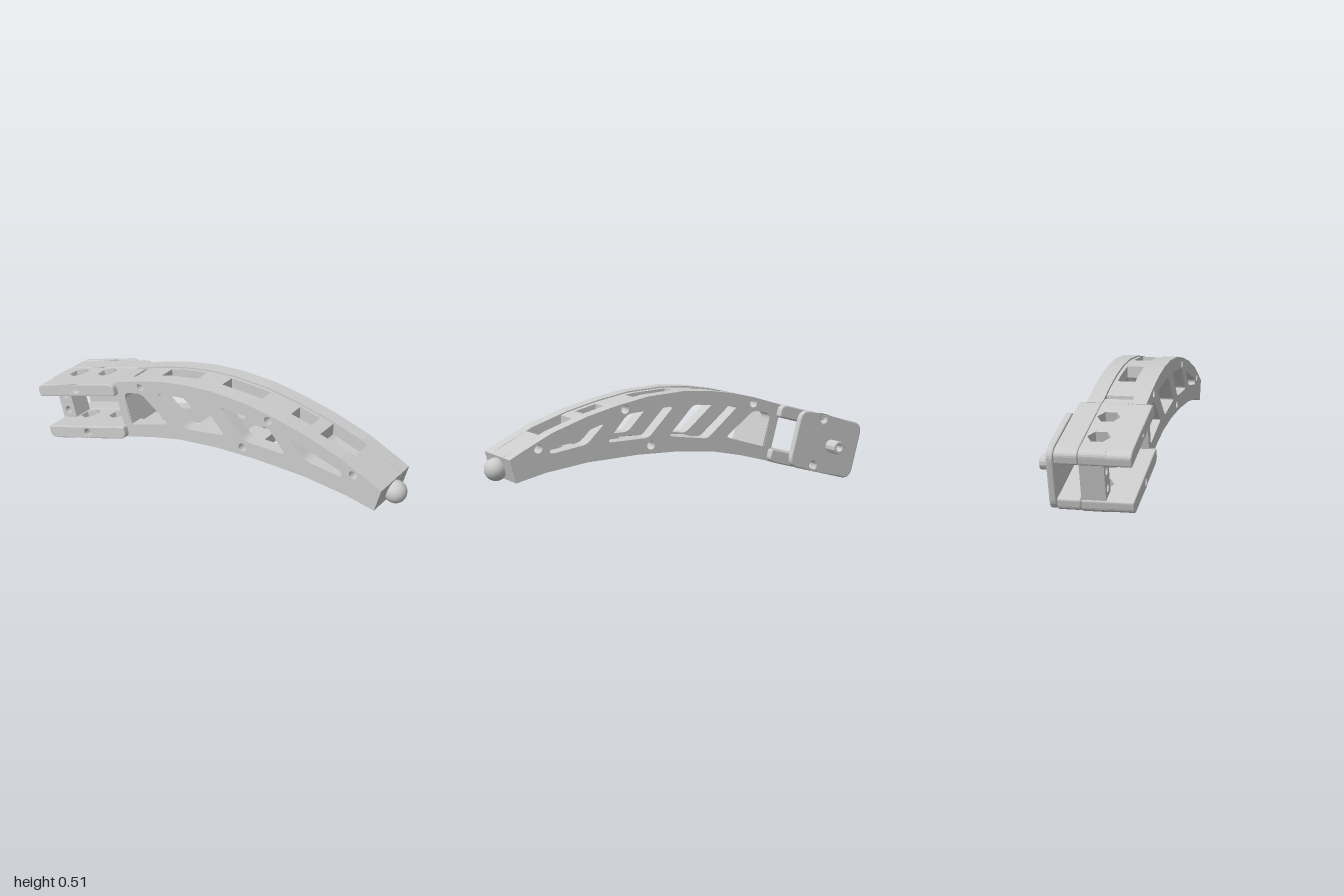
import * as THREE from 'three';

const material = new THREE.MeshStandardMaterial({ color: 0xcccccc });
const TILT = 0.27; // slope of the mounting bracket
const MID0 = -0.008, MID1 = 0.12; // inner gap between the two arm plates

// Upper and lower edge of the curved arm
const TOP = [[-0.548, 0.403], [-0.39, 0.452], [-0.26, 0.483], [-0.12, 0.505], [0.03, 0.514], [0.22, 0.503],
  [0.385, 0.473], [0.545, 0.434], [0.73, 0.372], [0.866, 0.306], [0.94, 0.268]];
const BOTTOM = [[-0.471, 0.126], [-0.31, 0.17], [-0.15, 0.204], [0.06, 0.225], [0.28, 0.23], [0.545, 0.22],
  [0.76, 0.193], [0.91, 0.16]];
const WINDOWS = [
  [[-0.48, 0.365], [-0.38, 0.388], [-0.215, 0.268], [-0.45, 0.2]],
  [[-0.285, 0.416], [-0.03, 0.445], [0.11, 0.303], [-0.11, 0.272]],
  [[0.08, 0.447], [0.335, 0.428], [0.445, 0.302], [0.22, 0.306]],
  [[0.455, 0.396], [0.74, 0.305], [0.74, 0.276], [0.55, 0.304]],
];
const ARM_SCREWS = [[-0.38, 0.424], [0.347, 0.45], [0.208, 0.268], [0.797, 0.306]];

const heightAt = (curve, x) => {
  for (let i = 1; i < curve.length; i++) {
    const [a, b] = [curve[i - 1], curve[i]];
    if (x <= b[0] || i === curve.length - 1) return a[1] + (b[1] - a[1]) * (x - a[0]) / (b[0] - a[0]);
  }
};

// Closed outline with one corner radius, or one radius per corner
function outline(points, radius = 0) {
  const path = new THREE.Shape();
  const n = points.length;
  const v = points.map(p => new THREE.Vector2(...p));
  v.forEach((p, i) => {
    const r = Array.isArray(radius) ? radius[i] : radius;
    const toward = q => p.clone().add(q.clone().sub(p).setLength(Math.min(r, q.distanceTo(p) * 0.45)));
    const a = r ? toward(v[(i + n - 1) % n]) : p;
    const b = r ? toward(v[(i + 1) % n]) : p;
    if (i === 0) path.moveTo(a.x, a.y); else path.lineTo(a.x, a.y);
    if (r) path.quadraticCurveTo(p.x, p.y, b.x, b.y);
  });
  path.closePath();
  return path;
}

const rect = (x0, y0, x1, y1) => [[x0, y0], [x1, y0], [x1, y1], [x0, y1]];
const circle = (x, y, r) => new THREE.Path().absarc(x, y, r, 0, Math.PI * 2, true);

function addMesh(parent, name, geometry) {
  const mesh = new THREE.Mesh(geometry, material);
  mesh.name = name;
  parent.add(mesh);
  return mesh;
}

// Extrudes a shape between two z positions, with an optional small bevel inside those limits
function slab(parent, name, shape, z0, z1, holes = [], bevel = 0) {
  shape.holes.push(...holes);
  const geometry = new THREE.ExtrudeGeometry(shape, {
    depth: z1 - z0 - 2 * bevel, bevelEnabled: bevel > 0, bevelSize: bevel, bevelThickness: bevel,
    bevelOffset: -bevel, bevelSegments: 2, curveSegments: 6,
  });
  geometry.translate(0, 0, z0 + bevel);
  return addMesh(parent, name, geometry);
}

function buildArm() {
  const arm = new THREE.Group();
  arm.name = 'arm';
  // Two pierced side plates
  for (const [name, z0, z1] of [['frontArmPlate', MID1, 0.19], ['backArmPlate', -0.082, -0.011]]) {
    const holes = WINDOWS.map(w => outline(w, 0.025)).concat(ARM_SCREWS.map(s => circle(...s, 0.021)));
    slab(arm, name, outline([...BOTTOM, ...[...TOP].reverse()]), z0, z1, holes);
  }
  // Piece of the arm between the plates, following the upper or lower edge
  const band = (name, curve, x0, x1, offset, thick, z0 = MID0, z1 = MID1) => {
    const edge = [];
    for (let i = 0; i <= 6; i++) {
      const x = x0 + (x1 - x0) * i / 6;
      edge.push([x, heightAt(curve, x) + offset]);
    }
    const other = edge.map(([x, y]) => [x, y + thick]).reverse();
    const holes = ARM_SCREWS.filter(([x, y]) => x > x0 + 0.03 && x < x1 - 0.03
      && Math.abs(y - heightAt(curve, x)) < 0.055 && z1 - z0 > 0.1).map(s => circle(...s, 0.013));
    slab(arm, name, outline([...edge, ...other]), z0, z1, holes);
  };
  for (const [x0, x1] of [[-0.47, -0.32], [-0.11, 0.03], [0.25, 0.41], [0.52, 0.58]])
    band('upperCrossbar', TOP, x0, x1, -0.006, -0.054);
  for (const [x0, x1] of [[-0.32, -0.11], [0.03, 0.25], [0.41, 0.52]]) {
    band('upperLedge', TOP, x0, x1, -0.006, -0.054, MID0, 0.008);
    band('upperLedge', TOP, x0, x1, -0.006, -0.054, 0.09, MID1);
  }
  for (const [x0, x1] of [[-0.45, -0.33], [-0.1, 0.03], [0.15, 0.27], [0.53, 0.58]])
    band('lowerCrossbar', BOTTOM, x0, x1, 0.004, 0.052);
  // Solid end block and ball tip
  const end = [[0.76, 0.195], [0.91, 0.16], [0.94, 0.268], [0.866, 0.304], [0.76, 0.357]];
  slab(arm, 'endBlock', outline(end), MID0, MID1, [circle(...ARM_SCREWS[3], 0.013)]);
  addMesh(arm, 'ballTip', new THREE.SphereGeometry(0.054, 24, 16)).position.set(0.946, 0.206, 0.056);
  return arm;
}

function buildBracket() {
  const bracket = new THREE.Group();
  bracket.name = 'bracket';
  bracket.rotation.z = TILT;
  const U0 = -0.905, U1 = -0.405, V0 = 0.245, V1 = 0.538, T = 0.065;
  const screws = { upper: [-0.651, 0.5145], lower: [-0.65, 0.2737] };

  // Upper and lower rails: solid outer layers and a middle layer with hexagonal nut pockets
  for (const side of ['upper', 'lower']) {
    const up = side === 'upper';
    const a = up ? V1 - T : V0, b = a + T;
    const radii = up ? [0.012, 0.012, 0.045, 0.055] : [0.055, 0.045, 0.012, 0.012];
    const pick = (...keep) => radii.map((r, i) => keep.includes(i) ? r : 0);
    const layer = (z0, z1) => slab(bracket, side + 'Rail', outline(rect(U0, a, U1, b), radii), z0, z1,
      [circle(...screws[side], 0.021)], 0.006);
    layer(-0.115, -0.011);
    layer(0.104, 0.222);
    slab(bracket, side + 'RailEnd', outline(rect(U0, a, -0.82, b), pick(0, 3)), MID0, 0.11);
    slab(bracket, side + 'RailEnd', outline(rect(-0.49, a, U1, b), pick(1, 2)), MID0, 0.11);
    const hexes = [-0.757, -0.567].map(u => {
      const corners = [];
      for (let i = 0; i < 6; i++) {
        const t = Math.PI * (i / 3 + 1 / 6);
        corners.push([u + 0.052 * Math.cos(t), -0.052 + 0.052 * Math.sin(t)]);
      }
      return outline(corners);
    });
    const core = slab(bracket, side + 'RailCore', outline(rect(-0.82, -0.11, -0.49, -MID0)), 0, T, hexes);
    core.rotation.x = -Math.PI / 2;
    core.position.y = a;
  }

  // Mounting flanges with two screw holes each
  for (const [name, u0, u1, hole] of [['outerFlange', U0 + 0.005, -0.815, -0.857], ['innerFlange', -0.47, -0.41, -0.452]])
    slab(bracket, name, outline(rect(u0, V0 + 0.05, u1, V1 - 0.05)), MID0, 0.1,
      [0.432, 0.351].map(v => circle(hole, v, 0.02)));
  // Wall joining the bracket to the arm
  slab(bracket, 'rootWall', outline(rect(-0.42, V0 + 0.01, -0.368, V1 - 0.01)), -0.08, 0.188);

  // Back cover with a hollow pivot peg
  slab(bracket, 'backCover', outline(rect(U0, V0, -0.507, V1), 0.055), -0.15, -0.118,
    Object.values(screws).map(s => circle(...s, 0.02)), 0.007);
  const peg = new THREE.Shape().absarc(-0.732, 0.39, 0.033, 0, Math.PI * 2, false);
  slab(bracket, 'pivotPeg', peg, -0.224, -0.145, [circle(-0.732, 0.39, 0.018)], 0.003);
  return bracket;
}

export function createModel() {
  const model = new THREE.Group();
  model.name = 'fingerLink';
  model.add(buildArm(), buildBracket());
  return model;
}
